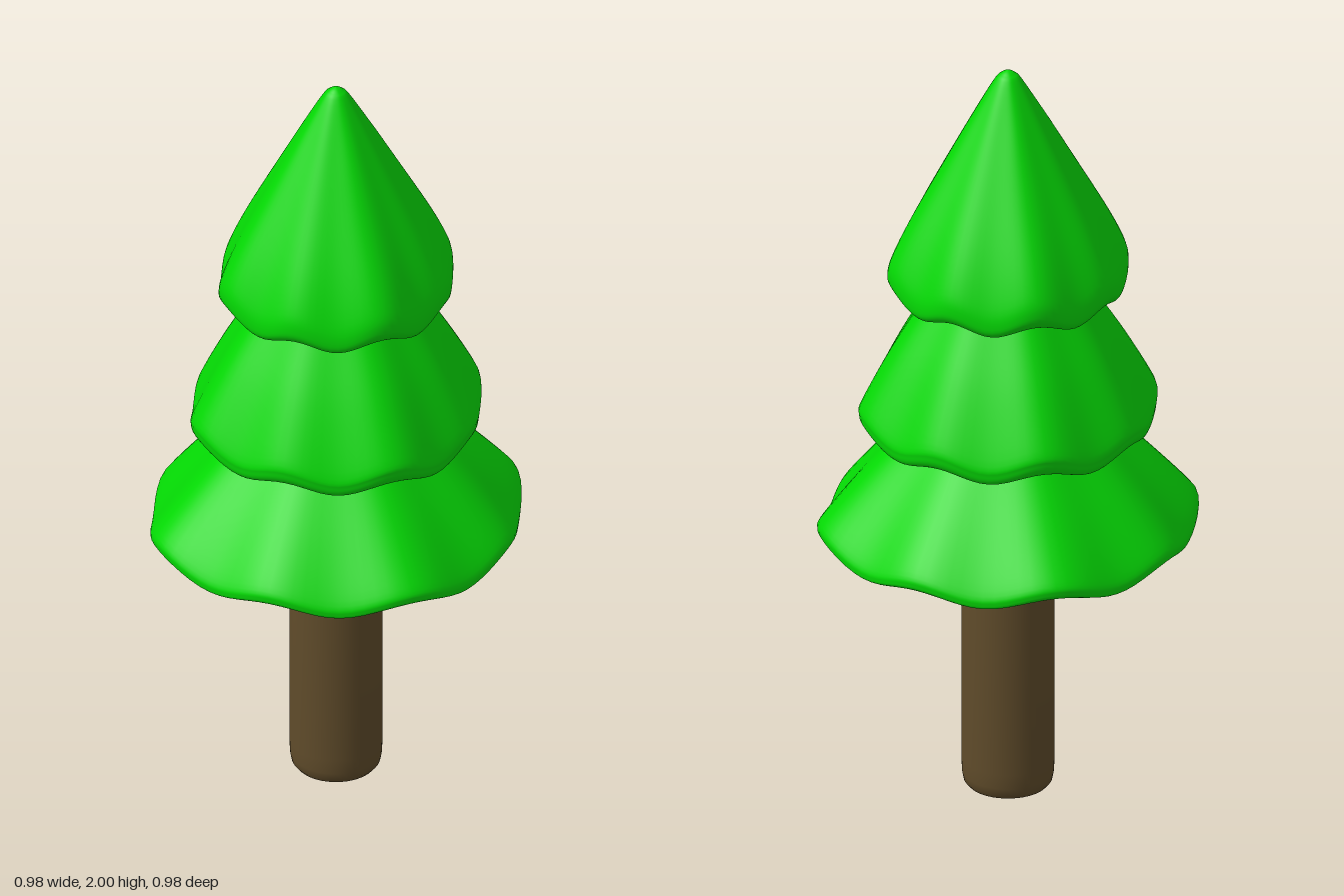
import * as THREE from 'three';
import { mergeVertices } from 'three/addons/utils/BufferGeometryUtils.js';

// Smooth surface of revolution, with the seam welded
function revolve(points, segments, deform) {
  let geo = new THREE.LatheGeometry(points.map(([r, y]) => new THREE.Vector2(r, y)), segments);
  geo.deleteAttribute('uv');
  geo.deleteAttribute('normal');
  if (deform) deform(geo.attributes.position);
  geo = mergeVertices(geo, 1e-5);
  geo.computeVertexNormals();
  return geo;
}

// Hollow skirt: inner wall down to a thin lip, then the outer wall up to the tip.
// Eight folds lift the lip; the four facing the axes swell further outward and sit higher.
function skirt(inner, lip, outer, rimRadius) {
  const curve = new THREE.SplineCurve([...inner, ...lip, ...outer].map(([r, y]) => new THREE.Vector2(r, y)));
  const profile = curve.getPoints(72).map(p => [Math.max(p.x, 0), p.y]);
  return revolve(profile, 96, pos => {
    for (let i = 0; i < pos.count; i++) {
      const x = pos.getX(i), z = pos.getZ(i), angle = Math.atan2(x, z);
      const t = Math.min(Math.hypot(x, z) / rimRadius, 1);
      const eight = Math.cos(8 * angle), four = Math.cos(4 * angle);
      const k = 1 + (0.025 * four + 0.017 * eight) * Math.min(1, t * 3);
      pos.setXYZ(i, x * k, pos.getY(i) + (0.017 * eight + 0.006 * four) * t ** 4, z * k);
    }
  });
}

export function createModel() {
  const tree = new THREE.Group();
  tree.name = 'pineTree';

  const bark = new THREE.MeshStandardMaterial({ color: 0x5f4b2a });
  bark.name = 'bark brown';
  const needles = new THREE.MeshStandardMaterial({ color: 0x04d804 });
  needles.name = 'needle green';

  const add = (name, geo, mat) => {
    const mesh = new THREE.Mesh(geo, mat);
    mesh.name = name;
    tree.add(mesh);
  };

  // Trunk with a rounded foot
  add('trunk', revolve([
    [0, 0], [0.05, 0], [0.085, 0.002], [0.102, 0.008], [0.112, 0.02], [0.116, 0.04],
    [0.118, 0.08], [0.118, 1.1], [0, 1.12],
  ], 48), bark);

  // Three overlapping tiers of foliage
  add('lowerBranches', skirt(
    [[0, 1.06], [0.1, 1.0], [0.22, 0.905], [0.34, 0.805], [0.41, 0.742]],
    [[0.432, 0.723], [0.447, 0.717], [0.462, 0.72], [0.471, 0.733]],
    [[0.46, 0.766], [0.375, 0.875], [0.25, 1.02], [0.12, 1.17], [0, 1.3]], 0.471), needles);

  add('middleBranches', skirt(
    [[0, 1.4], [0.1, 1.31], [0.2, 1.2], [0.28, 1.09], [0.312, 1.04]],
    [[0.326, 1.021], [0.342, 1.014], [0.36, 1.022], [0.368, 1.045]],
    [[0.361, 1.085], [0.287, 1.235], [0.189, 1.4], [0.1, 1.55], [0, 1.7]], 0.368), needles);

  add('upperBranches', skirt(
    [[0, 1.74], [0.08, 1.65], [0.16, 1.54], [0.225, 1.445], [0.245, 1.414]],
    [[0.257, 1.398], [0.272, 1.392], [0.289, 1.4], [0.298, 1.425]],
    [[0.288, 1.48], [0.236, 1.6], [0.131, 1.8], [0.042, 1.96], [0.018, 1.99], [0, 1.999]], 0.298), needles);

  return tree;
}
